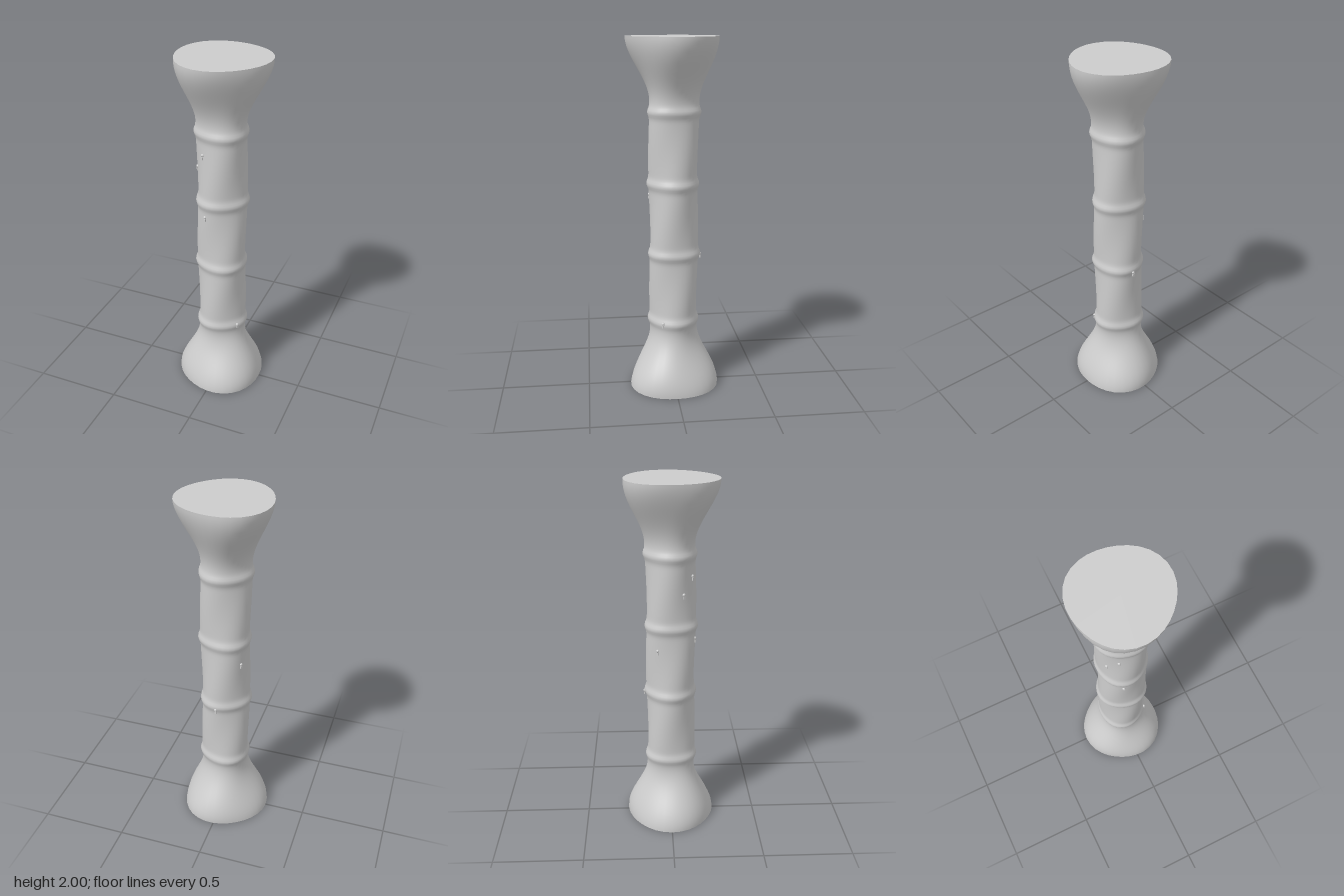
import * as THREE from 'three';
import { mergeVertices } from 'three/addons/utils/BufferGeometryUtils.js';

const RINGS = [0.4, 0.8, 1.2, 1.6];

// Radius of the pillar at a height and angle: flared ends, raised rings, three twisting lobes
function radiusAt(y, angle) {
  const flare = 1 - THREE.MathUtils.smoothstep(Math.min(y, 2 - y), 0, 0.345);
  let r = 0.136 + 0.118 * flare;
  for (const h of RINGS) r += 0.012 * Math.exp(-(((y - h) / 0.025) ** 2));
  const phase = THREE.MathUtils.degToRad(58 - 157.5 * y);
  return r * (1 + 0.035 * Math.cos(3 * (angle - phase)));
}

export function createModel() {
  const group = new THREE.Group();
  const stone = new THREE.MeshStandardMaterial({ color: 0xcccccc });
  stone.name = 'pale grey';

  // Pillar with closed ends; the seam is welded so the sides shade smoothly
  let body = new THREE.CylinderGeometry(1, 1, 2, 32, 160);
  body.translate(0, 1, 0);
  body.deleteAttribute('uv');
  body = mergeVertices(body);
  const p = body.attributes.position;
  for (let i = 0; i < p.count; i++) {
    const x = p.getX(i), y = p.getY(i), z = p.getZ(i);
    if (Math.hypot(x, z) < 0.01) continue;
    const a = Math.atan2(z, x), r = radiusAt(y, a);
    p.setXYZ(i, r * Math.cos(a), y, r * Math.sin(a));
  }
  body.computeVertexNormals();
  const pillar = new THREE.Mesh(body, stone);
  pillar.name = 'pillar';
  group.add(pillar);

  // Small knobs with a narrower tip below: [height, angle in degrees]
  const headGeo = new THREE.SphereGeometry(0.009, 10, 8);
  const tipGeo = new THREE.BoxGeometry(0.01, 0.016, 0.008);
  const knobs = [[1.49, 120], [1.4, 150], [1.13, 110], [0.41, 30], [1.08, 214], [0.79, -85]];
  for (const [y, degrees] of knobs) {
    const a = THREE.MathUtils.degToRad(degrees), r = radiusAt(y, a);
    const knob = new THREE.Group();
    knob.name = 'knob';
    const head = new THREE.Mesh(headGeo, stone);
    head.name = 'knobHead';
    const tip = new THREE.Mesh(tipGeo, stone);
    tip.name = 'knobTip';
    tip.position.set(0, -0.016, 0.002);
    knob.add(head, tip);
    knob.position.set(r * Math.cos(a), y, r * Math.sin(a));
    knob.rotation.y = Math.PI / 2 - a;
    group.add(knob);
  }
  return group;
}
